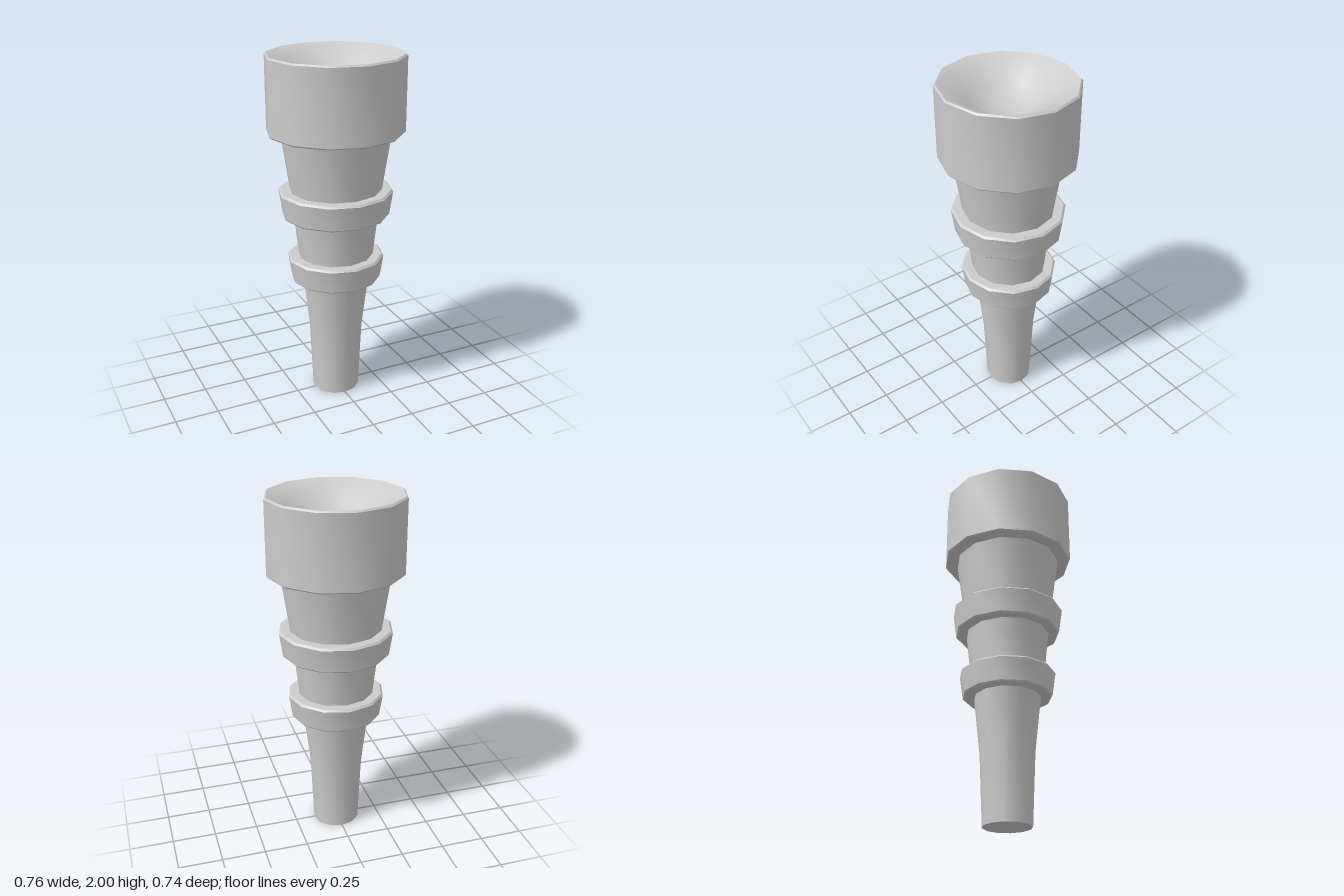
import * as THREE from 'three';
import { toCreasedNormals } from 'three/addons/utils/BufferGeometryUtils.js';

const SIDES = 12;
const material = new THREE.MeshStandardMaterial({ color: 0xcccccc });

// Turned part: profile of [radius, height] pairs, listed outside upwards
function turned(name, profile) {
  const points = profile.map(([r, y]) => new THREE.Vector2(r, y));
  const geometry = new THREE.LatheGeometry(points, SIDES);
  geometry.scale(1, 1, 0.975);
  const mesh = new THREE.Mesh(toCreasedNormals(geometry, 0.6), material);
  mesh.name = name;
  return mesh;
}

// Flared collar with small bevels on its top and bottom edges
function collar(name, y0, y1, rBottom, rTop, rInner) {
  return turned(name, [
    [rInner[0], y0], [rBottom - 0.008, y0], [rBottom, y0 + 0.008],
    [rTop, y1 - 0.011], [rTop - 0.011, y1], [rInner[1], y1],
  ]);
}

export function createModel() {
  const group = new THREE.Group();
  group.name = 'taperedFunnel';

  // Closed foot and tapering stem sections
  group.add(turned('lowerStem', [[0, 0], [0.137, 0], [0.155, 0.4], [0.191, 0.72]]));
  group.add(turned('middleStem', [[0.214, 0.86], [0.241, 1.103]]));
  group.add(turned('upperStem', [[0.259, 1.25], [0.308, 1.577]]));

  // Two collars
  group.add(collar('lowerCollar', 0.717, 0.862, 0.257, 0.276, [0.19, 0.213]));
  group.add(collar('upperCollar', 1.102, 1.252, 0.304, 0.323, [0.24, 0.258]));

  // Cup wall with bevelled edges
  group.add(turned('cup', [
    [0.306, 1.576], [0.374, 1.576], [0.382, 1.584], [0.382, 1.991], [0.373, 2],
  ]));

  // Shallow hollow of the cup
  group.add(turned('bowl', [
    [0.373, 2], [0.33, 1.981], [0.28, 1.954], [0.21, 1.905],
    [0.14, 1.857], [0.08, 1.835], [0, 1.828],
  ]));
  return group;
}
